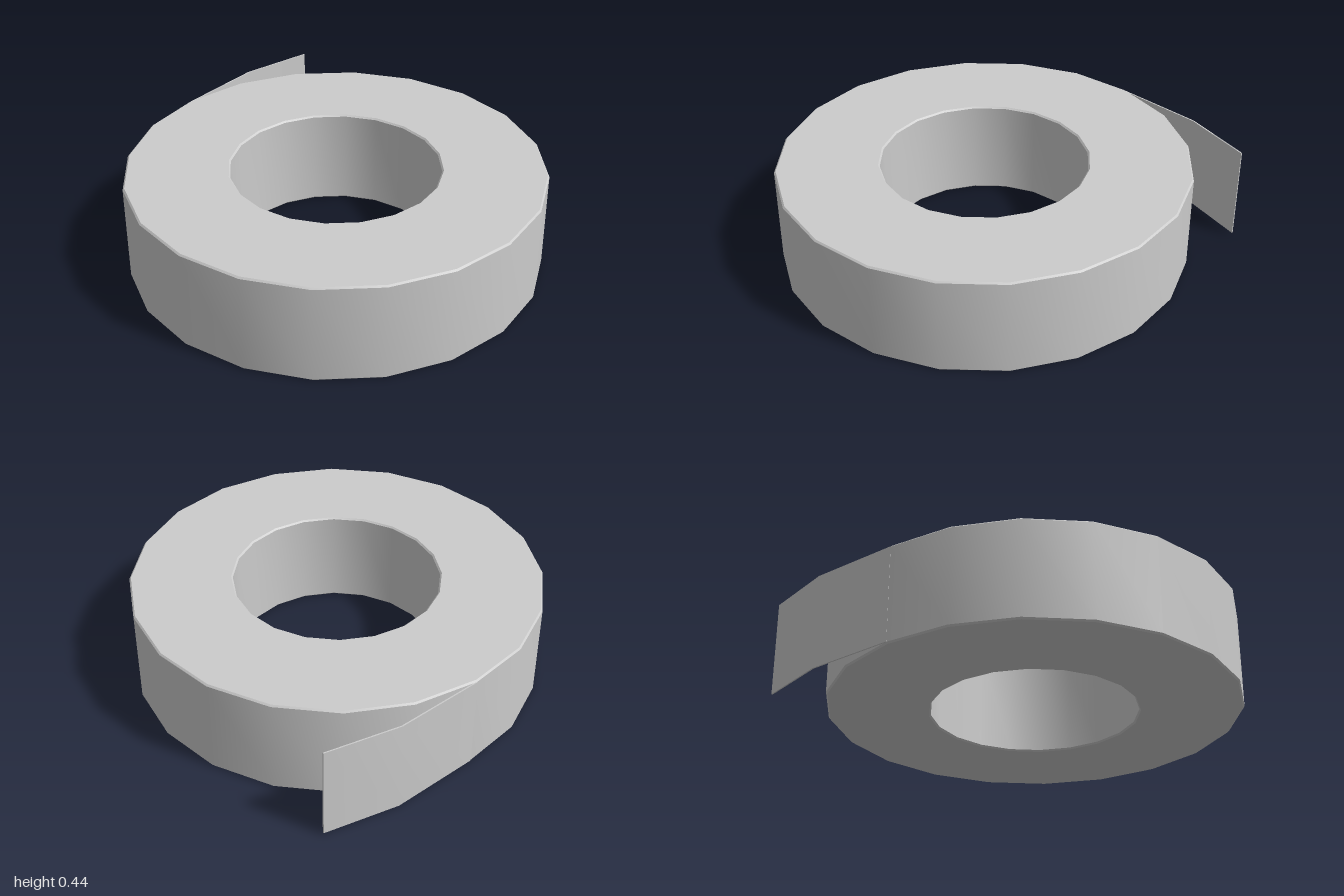
import * as THREE from 'three';
import { toCreasedNormals } from 'three/addons/utils/BufferGeometryUtils.js';

const SIDES = 20, OUTER = 0.903, INNER = 0.453, HEIGHT = 0.437, BEVEL = 0.007, CENTRE_Z = 0.093;

export function createModel() {
  const group = new THREE.Group();
  group.name = 'tapeRoll';
  const material = new THREE.MeshStandardMaterial({ color: 0xcccccc });

  const add = (name, geometry, crease) => {
    const mesh = new THREE.Mesh(toCreasedNormals(geometry, crease), material);
    mesh.name = name;
    group.add(mesh);
    return mesh;
  };

  // Wound ring: closed profile with small bevels on the outer and inner rims
  const profile = [
    [OUTER, BEVEL], [OUTER, HEIGHT - BEVEL], [OUTER - BEVEL, HEIGHT],
    [INNER + BEVEL, HEIGHT], [INNER, HEIGHT - BEVEL], [INNER, BEVEL],
    [INNER + BEVEL, 0], [OUTER - BEVEL, 0], [OUTER, BEVEL],
  ].map(([r, y]) => new THREE.Vector2(r, y));
  add('roll', new THREE.LatheGeometry(profile, SIDES), 0.6).position.z = CENTRE_Z;

  // Loose end: thin strip peeling off the back right, drawn in x and z
  const strip = new THREE.Shape([
    [-0.733, -0.438], [-0.513, -0.773], [-0.269, -1],
    [-0.264, -0.997], [-0.508, -0.769], [-0.726, -0.438],
  ].map(([x, z]) => new THREE.Vector2(x, z)));
  const flap = new THREE.ExtrudeGeometry(strip, { depth: HEIGHT - 2 * BEVEL, bevelEnabled: false });
  flap.rotateX(Math.PI / 2).translate(0, HEIGHT - BEVEL, 0);
  add('looseEnd', flap, 0.5);

  return group;
}
